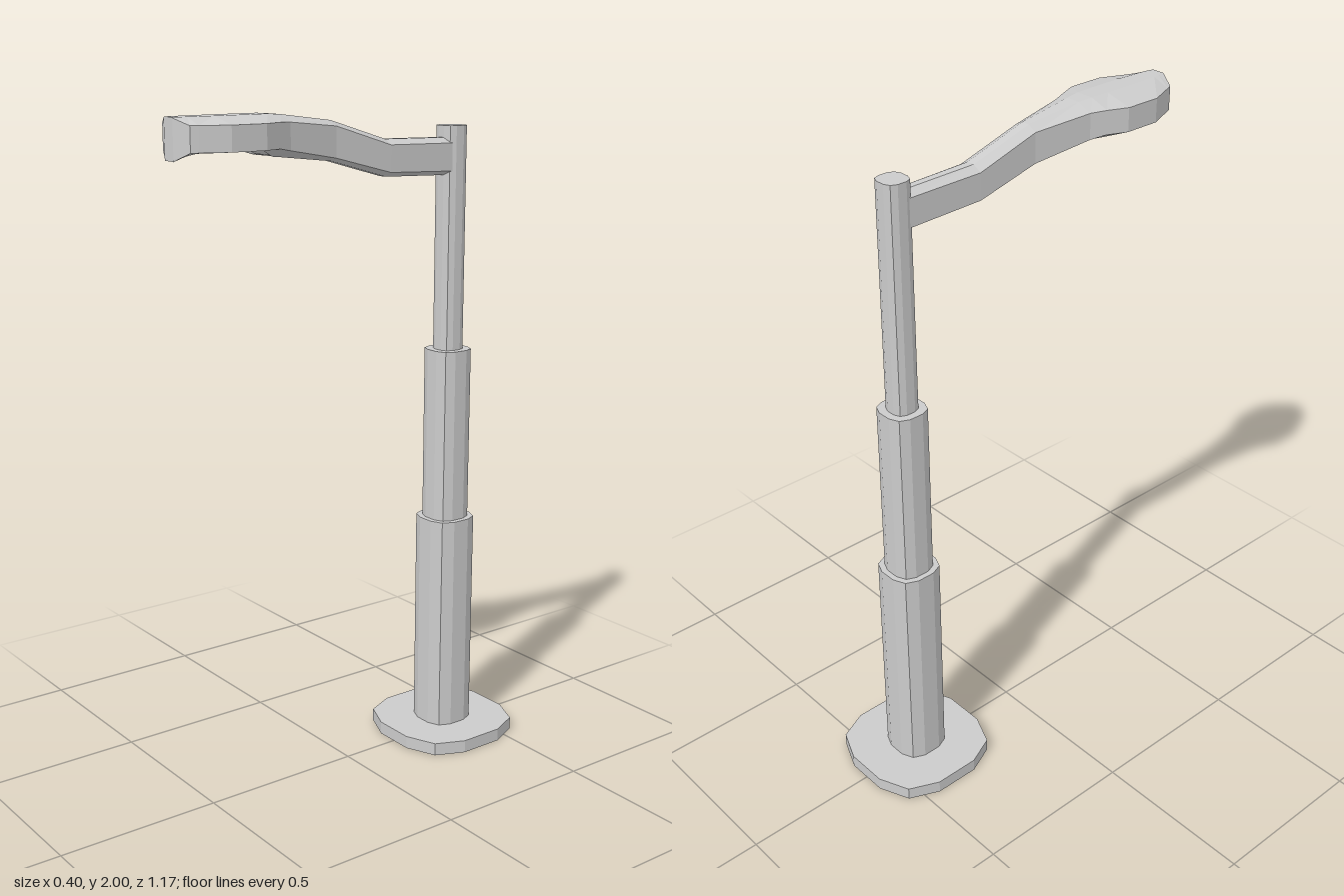
import * as THREE from 'three';

const material = new THREE.MeshStandardMaterial({ color: 0xcccccc, flatShading: true, side: THREE.DoubleSide });
const POLE_Z = -0.385;

// Twelve-sided prism with a slightly squared outline
function prism(name, radius, y0, y1) {
  const quarter = [[1, 0.35], [0.8, 0.8], [0.33, 1]];
  const back = [...quarter].reverse();
  const outline = [
    ...quarter,
    ...back.map(([x, y]) => [-x, y]),
    ...quarter.map(([x, y]) => [-x, -y]),
    ...back.map(([x, y]) => [x, -y]),
  ].map(([x, y]) => new THREE.Vector2(x * radius, y * radius));
  const geometry = new THREE.ExtrudeGeometry(new THREE.Shape(outline), { depth: y1 - y0, bevelEnabled: false });
  geometry.rotateX(-Math.PI / 2).translate(0, y0, POLE_Z);
  const mesh = new THREE.Mesh(geometry, material);
  mesh.name = name;
  return mesh;
}

// Arm and lamp head lofted from mirrored cross-sections along z
function lampArm() {
  // z, top half width, top y, half width, shoulder y, side bottom y, rim half width, rim y, recess y
  const stations = [
    [-0.37, 0.010, 1.91, 0.035, 1.895, 1.813, 0.012, 1.80, 1.80],
    [-0.125, 0.012, 1.915, 0.040, 1.90, 1.822, 0.014, 1.808, 1.808],
    [0.07, 0.012, 1.975, 0.040, 1.96, 1.872, 0.015, 1.862, 1.862],
    [0.245, 0.022, 1.997, 0.070, 1.978, 1.902, 0.025, 1.882, 1.882],
    [0.29, 0.028, 2.00, 0.088, 1.98, 1.91, 0.045, 1.887, 1.89],
    [0.35, 0.030, 2.00, 0.113, 1.98, 1.91, 0.090, 1.91, 1.94],
    [0.46, 0.030, 2.00, 0.113, 1.98, 1.91, 0.090, 1.91, 1.94],
    [0.54, 0.026, 2.00, 0.079, 1.98, 1.91, 0.058, 1.907, 1.94],
    [0.56, 0.024, 2.00, 0.070, 1.98, 1.91, 0.045, 1.90, 1.905],
    [0.583, 0.019, 2.00, 0.022, 1.998, 1.89, 0.020, 1.885, 1.886],
  ];
  const positions = [];
  const index = [];
  const n = 10;
  for (const [z, t, yt, w, ys, yl, b, yb, yr] of stations) {
    const half = [[t, yt], [w, ys], [w, yl], [b, yb], [b * 0.92, yr]];
    const mirror = [...half].reverse().map(([x, y]) => [-x, y]);
    for (const [x, y] of [...half, ...mirror]) positions.push(x, y, z);
  }
  for (let i = 0; i < stations.length - 1; i++) {
    for (let j = 0; j < n; j++) {
      const a = i * n + j;
      const b = i * n + (j + 1) % n;
      index.push(a, a + n, b + n, a, b + n, b);
    }
  }
  // End caps
  const last = (stations.length - 1) * n;
  for (let j = 1; j < n - 1; j++) {
    index.push(0, j, j + 1);
    index.push(last, last + j + 1, last + j);
  }
  const geometry = new THREE.BufferGeometry();
  geometry.setAttribute('position', new THREE.Float32BufferAttribute(positions, 3));
  geometry.setIndex(index);
  geometry.computeVertexNormals();
  const mesh = new THREE.Mesh(geometry, material);
  mesh.name = 'armAndLampHead';
  return mesh;
}

export function createModel() {
  const model = new THREE.Group();
  model.name = 'streetLamp';
  model.add(
    prism('basePlate', 0.2, 0, 0.04),
    prism('lowerColumn', 0.08, 0.04, 0.73),
    prism('middleColumn', 0.063, 0.73, 1.27),
    prism('upperPole', 0.04, 1.27, 1.945),
    lampArm(),
  );
  return model;
}
